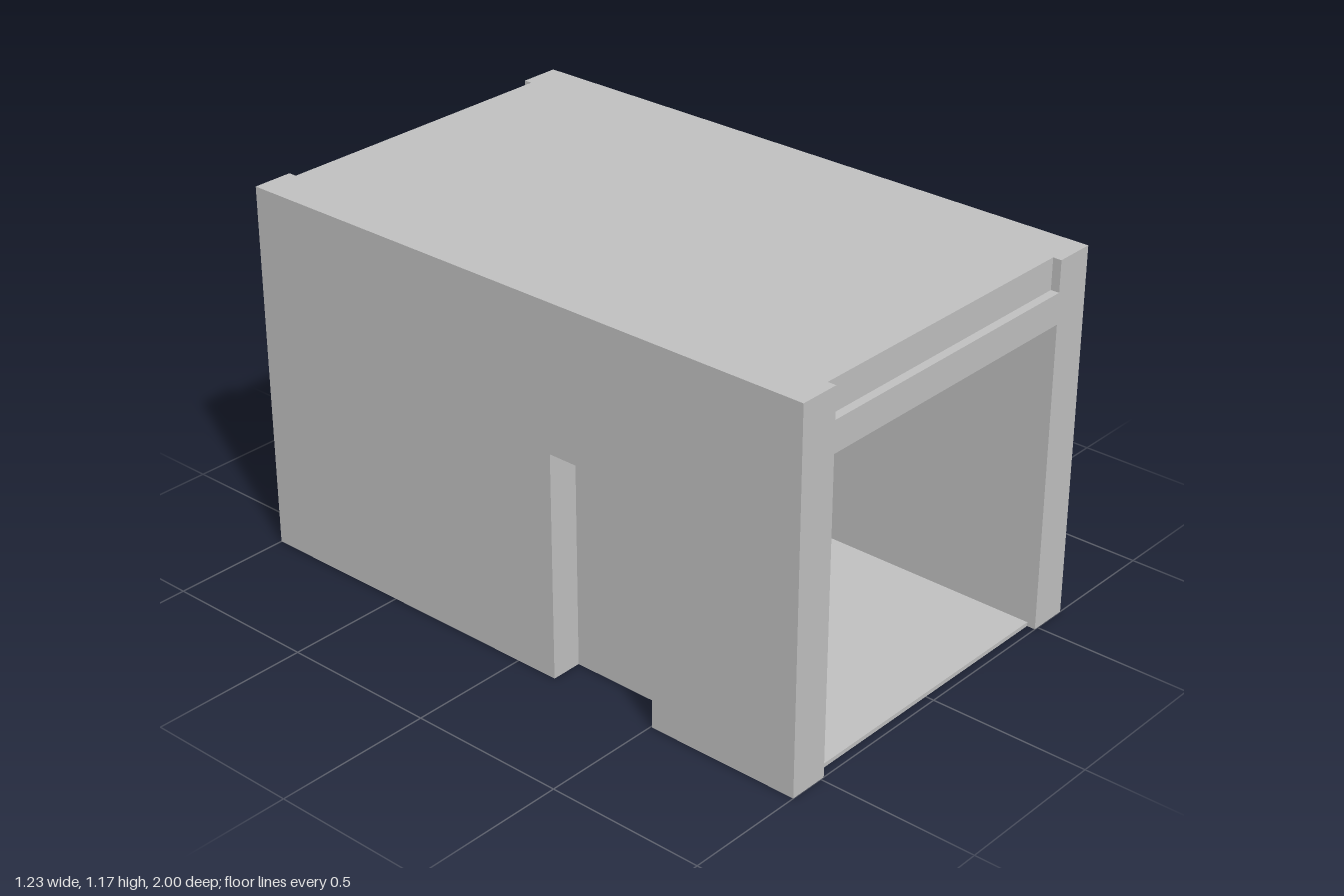
import * as THREE from 'three';

const HALF_W = 0.615, INNER = 0.487, TOP = 1.17, LEDGE = 1.073, CEILING = 0.977;
const INSET = 0.973; // half length of the recessed roof cap and floor
const DOOR = { z0: 0.14, z1: 0.505, h: 0.716 };

// Extrudes a (z, y) outline across x from x0 to x1
function extrudeAcross(points, x0, x1) {
  const shape = new THREE.Shape(points.map(([z, y]) => new THREE.Vector2(z, y)));
  const geometry = new THREE.ExtrudeGeometry(shape, { depth: x1 - x0, bevelEnabled: false });
  return geometry.rotateY(-Math.PI / 2).translate(x1, 0, 0);
}

export function createModel() {
  const model = new THREE.Group();
  model.name = 'garageShell';
  const grey = new THREE.MeshStandardMaterial({ color: 0xc0c0c0 });
  grey.name = 'concreteGrey';

  const add = (name, points, x0, x1) => {
    const mesh = new THREE.Mesh(extrudeAcross(points, x0, x1), grey);
    mesh.name = name;
    model.add(mesh);
  };

  // Plain side wall
  add('leftWall', [[-1, 0], [1, 0], [1, TOP], [-1, TOP]], INNER, HALF_W);

  // Side wall with a doorway cut down to the ground
  add('rightWall', [
    [-1, 0], [DOOR.z0, 0], [DOOR.z0, DOOR.h], [DOOR.z1, DOOR.h], [DOOR.z1, 0],
    [1, 0], [1, TOP], [-1, TOP],
  ], -HALF_W, -INNER);

  // Thin door set deep in the doorway
  add('doorPanel', [
    [DOOR.z0, 0], [DOOR.z1, 0], [DOOR.z1, DOOR.h], [DOOR.z0, DOOR.h],
  ], -0.516, -0.502);

  // Roof with a stepped recess above each end opening
  add('roof', [
    [-1, CEILING], [1, CEILING], [1, LEDGE], [INSET, LEDGE], [INSET, TOP],
    [-INSET, TOP], [-INSET, LEDGE], [-1, LEDGE],
  ], -INNER, INNER);

  // Thin floor slab, set back from both ends
  add('floor', [[-INSET, 0], [INSET, 0], [INSET, 0.013], [-INSET, 0.013]], -INNER, INNER);

  return model;
}
